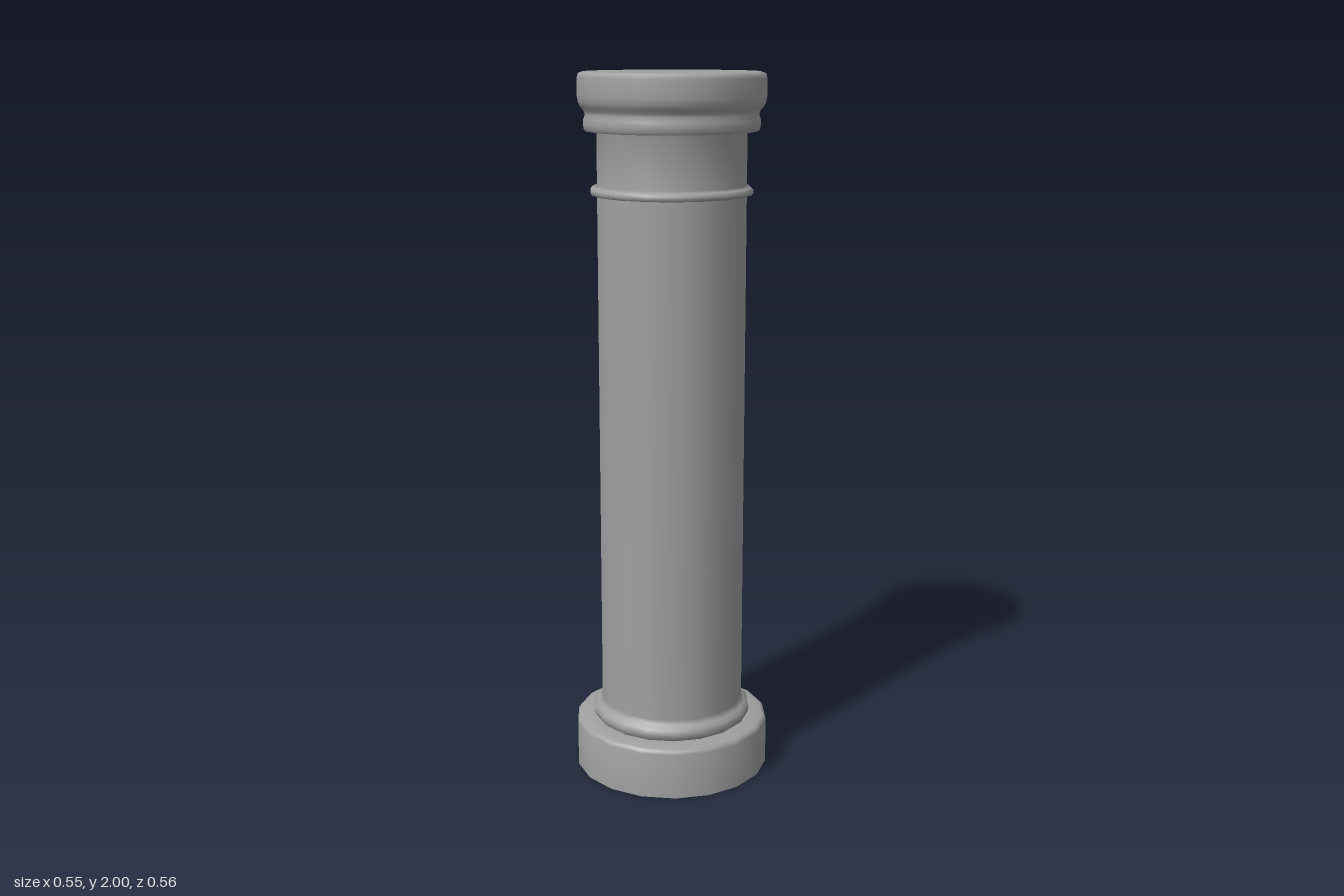
import * as THREE from 'three';
import { toCreasedNormals } from 'three/addons/utils/BufferGeometryUtils.js';

const SIDES = 18;

export function createModel() {
  const column = new THREE.Group();
  column.name = 'column';
  const material = new THREE.MeshStandardMaterial({ color: 0xa0a0a0, side: THREE.DoubleSide });

  // Turns a smooth [radius, height] profile, listed from bottom to top
  const turn = (name, profile) => {
    const points = profile.map(([r, y]) => new THREE.Vector2(r, y));
    const mesh = new THREE.Mesh(new THREE.LatheGeometry(points, SIDES), material);
    mesh.name = name;
    column.add(mesh);
    return mesh;
  };

  // Drum base with a softened upper edge and a crisp lower one
  const base = turn('base', [[0, 0], [0.281, 0], [0.281, 0.132], [0.278, 0.141], [0.269, 0.146], [0.218, 0.146]]);
  base.geometry = toCreasedNormals(base.geometry, 0.9);

  // Shaft with its mouldings, blended into one smooth surface
  turn('shaft', [
    // foot moulding
    [0.218, 0.146], [0.227, 0.153], [0.23, 0.167], [0.227, 0.18], [0.217, 0.188], [0.21, 0.193], [0.207, 0.205],
    // neck ring at the end of the plain shaft
    [0.207, 1.67], [0.22, 1.671], [0.225, 1.677], [0.225, 1.686], [0.219, 1.692], [0.207, 1.698],
    // neck and underside of the capital
    [0.207, 1.843], [0.236, 1.843],
  ]);

  // Capital: lower roll, cove and thick rounded slab
  turn('capital', [[0.236, 1.843], [0.241, 1.849], [0.243, 1.862], [0.242, 1.876], [0.238, 1.888],
    [0.241, 1.898], [0.25, 1.908], [0.256, 1.92], [0.259, 1.937], [0.259, 1.984], [0.255, 1.996],
    [0.243, 2], [0.24, 2]]);

  // Flat top
  turn('capitalTop', [[0.24, 2], [0, 2]]);

  return column;
}
